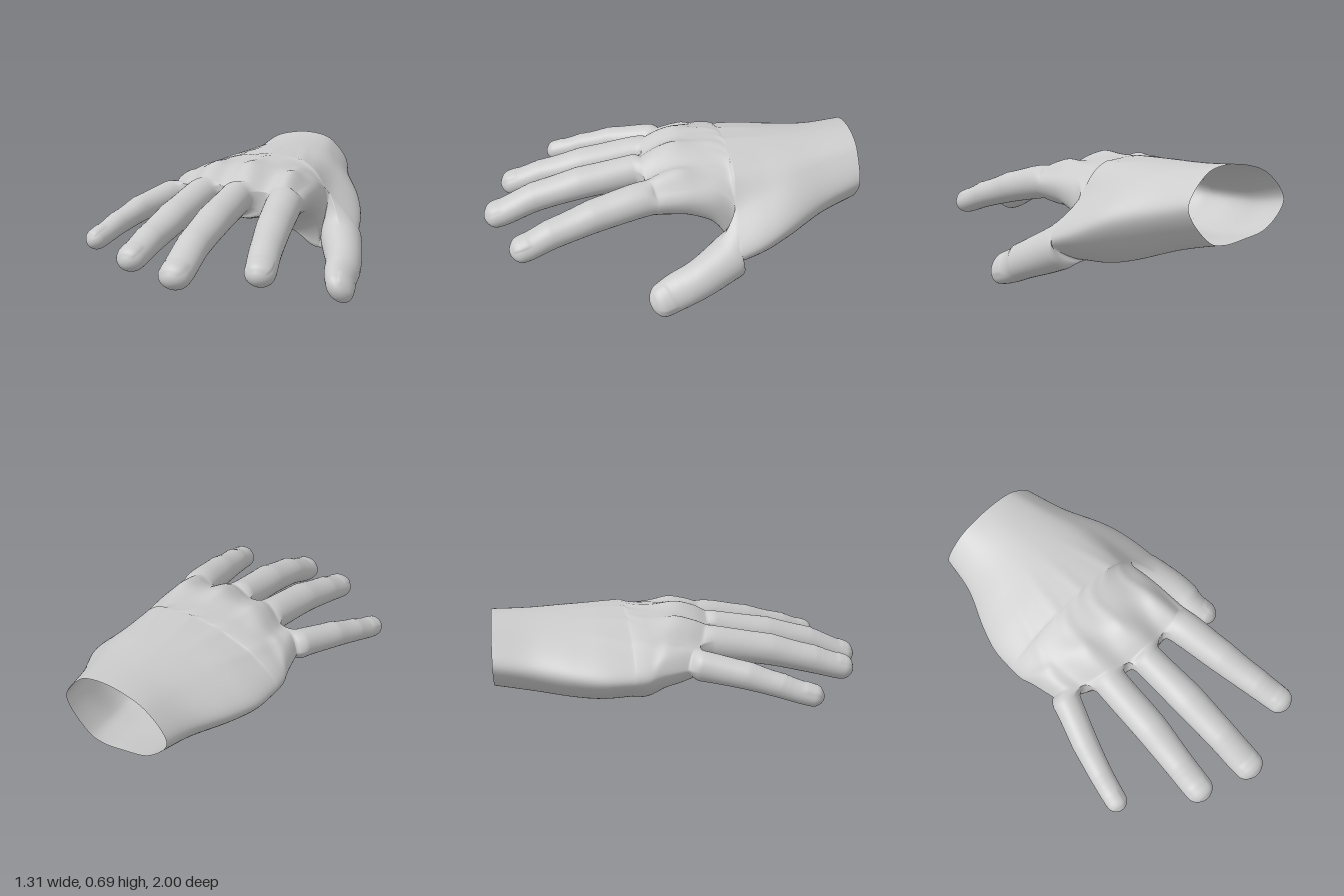
import * as THREE from 'three';
import { mergeGeometries, mergeVertices } from 'three/addons/utils/BufferGeometryUtils.js';

const skin = new THREE.MeshStandardMaterial({ color: 0xcccccc, side: THREE.DoubleSide });
const smooth = THREE.MathUtils.smoothstep;
const bell = (v, width) => Math.exp(-((v / width) ** 2));
const easeOut = t => Math.sin(Math.PI / 2 * Math.min(1, t));

// Palm outlines have ten control points with SEG columns between neighbours;
// column 0 is the thumb edge, column HALF the little finger edge
const SEG = 16, HALF = SEG * 5, ROUND = HALF * 2;

// Catmull-Rom interpolation of whole table rows; s runs from 0 to rows.length - 1
function rowAt(rows, s) {
  const n = rows.length;
  const i = Math.min(n - 2, Math.max(0, Math.floor(s)));
  const t = s - i;
  const b = rows[i], c = rows[i + 1];
  return b.map((_, k) => {
    const p0 = i > 0 ? rows[i - 1][k] : 2 * b[k] - c[k];
    const p3 = i < n - 2 ? rows[i + 2][k] : 2 * c[k] - b[k];
    const m0 = (c[k] - p0) / 2, m1 = (p3 - b[k]) / 2, d = b[k] - c[k];
    return b[k] + t * (m0 + t * (-3 * d - 2 * m0 - m1 + t * (2 * d + m0 + m1)));
  });
}

// Surface over closed rings with equal point counts
function loft(rings) {
  const n = rings[0].length;
  const index = [];
  for (let i = 0; i < rings.length - 1; i++) {
    for (let j = 0; j < n; j++) {
      const a = i * n + j, b = i * n + (j + 1) % n;
      index.push(a, b, b + n, a, b + n, a + n);
    }
  }
  return new THREE.BufferGeometry().setFromPoints(rings.flat()).setIndex(index);
}

// Each part: fractions across for top and bottom points, then rows of
// z, right edge x y, left edge x y, four top heights, four bottom heights
const wristPart = {
  top: [0.18, 0.47, 0.72, 0.84], bottom: [0.18, 0.45, 0.64, 0.78],
  rows: [
    [-1.0, -0.36, 0.50, 0.25, 0.50, 0.635, 0.688, 0.68, 0.645, 0.37, 0.325, 0.31, 0.33],
    [-0.8, -0.39, 0.47, 0.33, 0.45, 0.61, 0.68, 0.665, 0.62, 0.33, 0.295, 0.275, 0.275],
    [-0.6, -0.47, 0.45, 0.45, 0.39, 0.60, 0.68, 0.655, 0.585, 0.30, 0.28, 0.235, 0.205],
    [-0.45, -0.515, 0.44, 0.515, 0.33, 0.60, 0.68, 0.645, 0.535, 0.29, 0.30, 0.23, 0.17],
    [-0.3, -0.523, 0.44, 0.55, 0.28, 0.60, 0.678, 0.64, 0.48, 0.295, 0.32, 0.25, 0.165],
  ],
};
const palmPart = {
  top: [0.18, 0.47, 0.76, 0.96], bottom: [0.18, 0.47, 0.76, 0.96],
  rows: [
    [-0.3, -0.523, 0.44, 0.36, 0.43, 0.60, 0.675, 0.66, 0.56, 0.295, 0.32, 0.27, 0.30],
    [-0.2, -0.52, 0.445, 0.362, 0.49, 0.60, 0.67, 0.66, 0.575, 0.305, 0.345, 0.33, 0.38],
    [-0.05, -0.508, 0.455, 0.365, 0.52, 0.595, 0.66, 0.65, 0.585, 0.345, 0.38, 0.40, 0.435],
    [0.07, -0.49, 0.465, 0.368, 0.525, 0.575, 0.625, 0.615, 0.58, 0.375, 0.41, 0.425, 0.45],
    [0.15, -0.47, 0.47, 0.372, 0.525, 0.55, 0.585, 0.575, 0.57, 0.41, 0.44, 0.445, 0.455],
  ],
};

function palmRing({ top, bottom, rows }, s) {
  const r = rowAt(rows, s);
  const [z, x0, y0, x1, y1] = r;
  const at = (f, y) => new THREE.Vector3(x0 + (x1 - x0) * f, y, z);
  const outline = new THREE.CatmullRomCurve3([
    at(1, y1), ...top.map((f, k) => at(f, r[5 + k])).reverse(),
    at(0, y0), ...bottom.map((f, k) => at(f, r[9 + k])),
  ], true);
  return Array.from({ length: ROUND }, (_, j) => {
    const p = outline.getPoint(j / ROUND);
    const column = Math.min(j, ROUND - j);
    // Each finger swells out of the palm between its webs
    if (column > SEG) {
      const swell = Math.sin(Math.PI * column / SEG) ** 2 * smooth(z, -0.2, 0.13);
      p.y += swell * (j < HALF ? 0.04 : -0.02);
    }
    // Tendons fan out from the wrist to the knuckles
    if (j > SEG && j < HALF - 4) {
      for (const x of [-0.40, -0.19, 0.01, 0.25]) {
        const line = THREE.MathUtils.lerp(-0.05, x, smooth(z, -1.3, 0));
        p.y += 0.007 * bell(p.x - line, 0.03) * smooth(z, -0.7, -0.2) * (1 - smooth(z, -0.05, 0.08));
        p.y += 0.009 * bell(p.x - x, 0.06) * bell(z, 0.08);
      }
    }
    // The front edge curves back towards the little finger
    p.z -= 0.6 * (p.x - 0.07) ** 2 * smooth(z, -0.3, 0.1);
    return p;
  });
}

// Columns a to b of a palm ring, closed by upright webs where it is cut
function sector(ring, a, b) {
  const web = (p, q) => Array.from({ length: 2 * SEG - 1 },
    (_, k) => p.clone().lerp(q, (k + 1) / (2 * SEG)));
  const above = ring.slice(a, b + 1);
  const below = ring.slice(b === HALF ? HALF + 1 : ROUND - b, ROUND - a + 1);
  return [...above, ...(b < HALF ? web(ring[b], ring[ROUND - b]) : []),
    ...below, ...(a > 0 ? web(ring[ROUND - a], ring[a]) : [])];
}

// Finger from rows of x, y, z, half width, half height, grown out of a base ring;
// roll turns the nail sideways
function fingerRings(base, { rows, roll, joints }) {
  const steps = 64, n = rows.length - 1;
  const point = s => new THREE.Vector3(...rowAt(rows, s).slice(0, 3));
  const frame = s => {
    const tangent = point(Math.min(n, s + 0.05)).sub(point(Math.max(0, s - 0.05))).normalize();
    const side = new THREE.Vector3(0, 1, 0).cross(tangent).normalize().applyAxisAngle(tangent, roll);
    return { side, up: tangent.clone().cross(side) };
  };
  const lastLength = point(n).distanceTo(point(n - 1));
  const tipRadius = rows[n][4] * 1.15;

  // Every base point keeps its own direction around the finger
  const middle = base.reduce((sum, p) => sum.add(p), new THREE.Vector3()).divideScalar(base.length);
  const start = frame(0);
  const angles = base.map(p => {
    const v = p.clone().sub(middle);
    return Math.atan2(v.dot(start.up) / rows[0][4], v.dot(start.side) / rows[0][3]);
  });

  const rings = [base];
  for (let i = 1; i <= steps; i++) {
    const s = n * (1 - (1 - i / steps) ** 1.4);
    const [x, y, z, rw, rh] = rowAt(rows, s);
    const { side, up } = frame(s);
    const d = (n - s) * lastLength;
    const round = d < tipRadius ? Math.sqrt(Math.max(0, 1 - (1 - d / tipRadius) ** 2)) : 1;
    rings.push(base.map((p, j) => {
      const a = angles[j];
      // Raised nail plate, knuckle swellings with faint skin folds
      const nail = (1 - smooth(Math.abs(a - Math.PI / 2), 0.7, 0.95))
        * smooth(d, 0.015, 0.03) * (1 - smooth(d, 0.095, 0.115));
      let swell = 0.004 * nail;
      for (const joint of joints) {
        swell += Math.max(0, Math.sin(a)) * bell(s - joint, 0.25)
          * (0.005 + 0.0015 * Math.cos((s - joint) * 28));
      }
      const q = new THREE.Vector3(x, y, z)
        .addScaledVector(side, Math.cos(a) * (rw * round + swell))
        .addScaledVector(up, Math.sin(a) * (rh * round + swell));
      return p.clone().lerp(q, easeOut(s / 0.5));
    }));
  }
  return rings;
}

const thumb = {
  roll: -0.9, joints: [2.5],
  rows: [[0.44, 0.265, -0.31, 0.125, 0.115], [0.49, 0.212, -0.2, 0.112, 0.108],
    [0.535, 0.165, -0.09, 0.103, 0.095], [0.555, 0.118, 0.02, 0.099, 0.08],
    [0.58, 0.088, 0.1, 0.09, 0.066], [0.6, 0.075, 0.168, 0.08, 0.056]],
};
// Palm columns from and to, then the finger itself
const fingers = {
  indexFinger: { from: 0, to: 2 * SEG, roll: -0.15, joints: [2, 3],
    rows: [[0.275, 0.525, 0.12, 0.096, 0.088], [0.296, 0.515, 0.22, 0.094, 0.09],
      [0.335, 0.47, 0.43, 0.088, 0.082], [0.382, 0.41, 0.65, 0.079, 0.072],
      [0.414, 0.365, 0.78, 0.076, 0.066], [0.428, 0.345, 0.863, 0.07, 0.06]] },
  middleFinger: { from: 2 * SEG, to: 3 * SEG, roll: 0, joints: [2, 3],
    rows: [[0.018, 0.54, 0.15, 0.088, 0.092], [0.022, 0.527, 0.24, 0.086, 0.09],
      [0.03, 0.488, 0.48, 0.09, 0.082], [0.035, 0.425, 0.72, 0.084, 0.075],
      [0.042, 0.35, 0.9, 0.083, 0.07], [0.045, 0.325, 1.0, 0.077, 0.062]] },
  ringFinger: { from: 3 * SEG, to: 4 * SEG, roll: 0.08, joints: [2, 3],
    rows: [[-0.2, 0.53, 0.1, 0.092, 0.088], [-0.207, 0.515, 0.2, 0.089, 0.088],
      [-0.215, 0.47, 0.45, 0.088, 0.08], [-0.232, 0.41, 0.68, 0.079, 0.072],
      [-0.24, 0.368, 0.82, 0.077, 0.066], [-0.242, 0.345, 0.908, 0.071, 0.06]] },
  littleFinger: { from: 4 * SEG, to: HALF, roll: 0.3, joints: [2, 3],
    rows: [[-0.425, 0.485, 0.01, 0.08, 0.08], [-0.455, 0.472, 0.1, 0.074, 0.077],
      [-0.515, 0.44, 0.27, 0.069, 0.068], [-0.56, 0.395, 0.43, 0.062, 0.06],
      [-0.59, 0.355, 0.56, 0.059, 0.056], [-0.605, 0.335, 0.642, 0.054, 0.05]] },
};

function palmRings(part, steps) {
  return Array.from({ length: steps + 1 }, (_, i) => palmRing(part, i / steps * (part.rows.length - 1)));
}

export function createModel() {
  const parts = {};
  // The wrist skin divides into thumb and palm, the palm into four fingers
  const wrist = palmRings(wristPart, 40);
  const fork = wrist.at(-1);
  parts.wrist = loft(wrist);
  parts.thumb = loft(fingerRings(sector(fork, 0, SEG), thumb));
  const cut = sector(fork, SEG, HALF);
  const base = [...cut.slice(-SEG), ...cut.slice(0, -SEG)];
  const palm = palmRings(palmPart, 32).map((ring, i) =>
    ring.map((p, j) => base[j].clone().lerp(p, easeOut(i / 10))));
  parts.palm = loft(palm);
  for (const [name, finger] of Object.entries(fingers)) {
    parts[name] = loft(fingerRings(sector(palm.at(-1), finger.from, finger.to), finger));
  }

  // Normals are shared across the joins so the skin reads as one surface
  const whole = mergeVertices(mergeGeometries(Object.values(parts)), 1e-5);
  whole.computeVertexNormals();
  const hand = new THREE.Group();
  hand.name = 'hand';
  let first = 0;
  for (const [name, part] of Object.entries(parts)) {
    const geometry = new THREE.BufferGeometry();
    geometry.setAttribute('position', whole.attributes.position);
    geometry.setAttribute('normal', whole.attributes.normal);
    geometry.setIndex(Array.from(whole.index.array.slice(first, first += part.index.count)));
    const mesh = new THREE.Mesh(geometry, skin);
    mesh.name = name;
    hand.add(mesh);
  }
  return hand;
}
